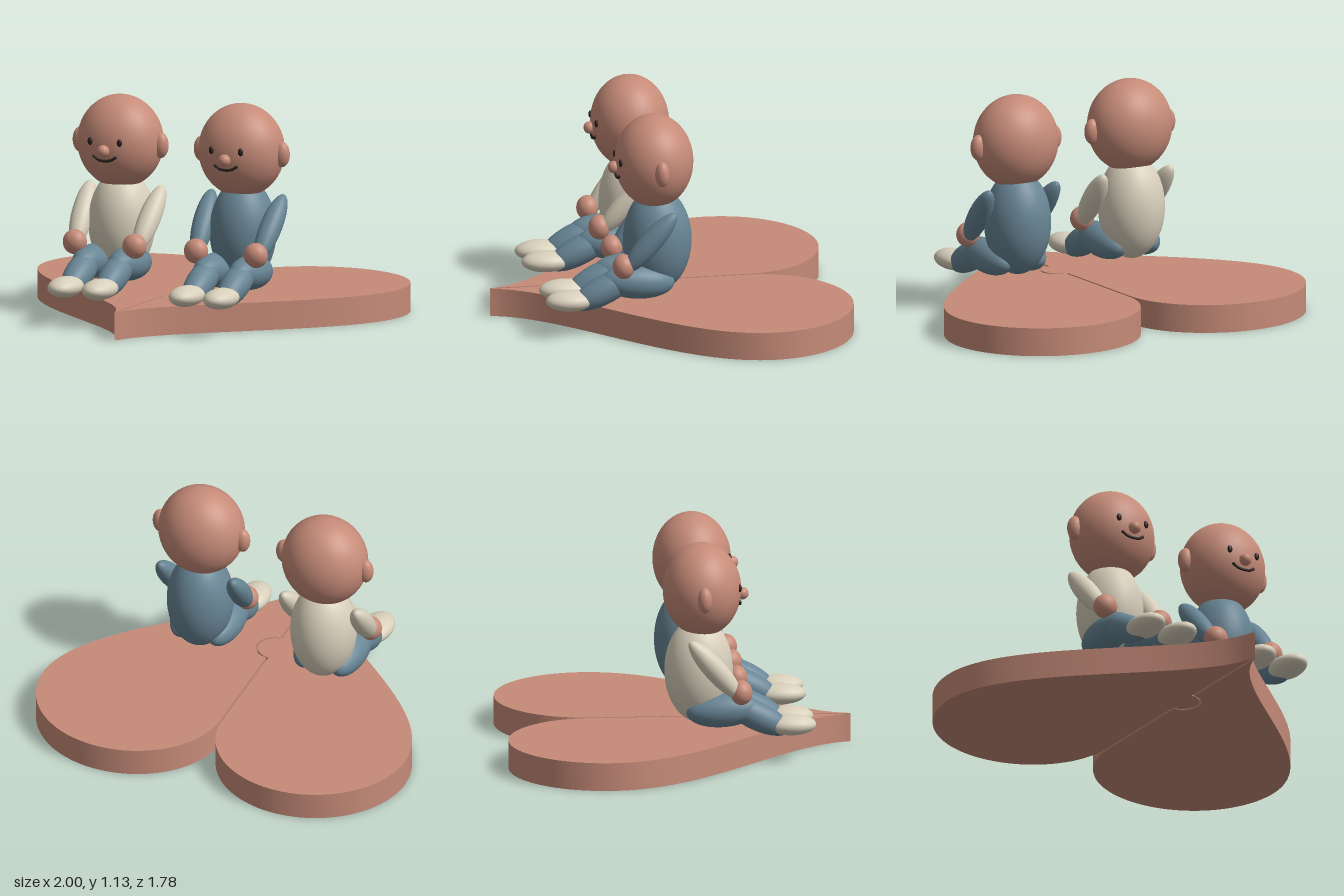
import * as THREE from 'three';
import { toCreasedNormals } from 'three/addons/utils/BufferGeometryUtils.js';

const mat = (name, color) => {
  const m = new THREE.MeshStandardMaterial({ color });
  m.name = name;
  return m;
};

export function createModel() {
  const clay = mat('clay', 0xc68b78);
  const blue = mat('blue cloth', 0x688595);
  const cream = mat('cream cloth', 0xd8cfbb);
  const dark = mat('dark features', 0x2b211d);

  const model = new THREE.Group();
  model.name = 'seatedPair';

  const ball = new THREE.SphereGeometry(1, 40, 28);

  // Ellipsoid with given centre and radii
  const ellipsoid = (parent, name, material, pos, radii) => {
    const mesh = new THREE.Mesh(ball, material);
    mesh.name = name;
    mesh.position.set(...pos);
    mesh.scale.set(...radii);
    parent.add(mesh);
    return mesh;
  };

  // Ellipsoid stretched along a direction, for limbs
  const limb = (parent, name, material, pos, dir, halfLength, radius) => {
    const mesh = ellipsoid(parent, name, material, pos, [radius, halfLength, radius]);
    mesh.quaternion.setFromUnitVectors(
      new THREE.Vector3(0, 1, 0), new THREE.Vector3(...dir).normalize());
    return mesh;
  };

  // Half of the heart base; the seam carries a round tab or its socket
  const heartHalf = (side, tabRadius) => {
    const x = (v) => side * v;
    const gap = 0.006, k = 0.5523;
    const s = new THREE.Shape();
    s.moveTo(x(gap), -0.88);
    s.bezierCurveTo(x(0.08), -0.5, x(1), -0.1, x(1), 0.41);
    s.bezierCurveTo(x(1), 0.41 + 0.49 * k, x(0.49 + 0.51 * k), 0.9, x(0.49), 0.9);
    s.bezierCurveTo(x(0.49 - 0.484 * k), 0.9, x(gap), 0.45 + 0.45 * k, x(gap), 0.45);
    s.lineTo(x(gap), -0.24 + tabRadius);
    s.absarc(x(gap), -0.24, tabRadius, Math.PI / 2, -Math.PI / 2, true);
    s.closePath();
    const geo = new THREE.ExtrudeGeometry(s, { depth: 0.145, bevelEnabled: false, curveSegments: 40 });
    geo.rotateX(-Math.PI / 2);
    const mesh = new THREE.Mesh(toCreasedNormals(geo, 0.5), clay);
    mesh.name = side > 0 ? 'heartHalfLeft' : 'heartHalfRight';
    model.add(mesh);
  };
  heartHalf(1, 0.09);
  heartHalf(-1, 0.088);

  // Smile follows the front of the face
  const smile = new THREE.TubeGeometry(new THREE.CatmullRomCurve3([
    [-0.06, 0.833, 0.286], [-0.035, 0.818, 0.289], [0, 0.813, 0.291],
    [0.035, 0.818, 0.289], [0.06, 0.833, 0.286],
  ].map((p) => new THREE.Vector3(...p))), 24, 0.007, 8);

  const figure = (name, x, shirt) => {
    const g = new THREE.Group();
    g.name = name;
    g.position.x = x;
    model.add(g);

    ellipsoid(g, 'torso', shirt, [0, 0.47, 0.08], [0.17, 0.27, 0.175]);

    // Head and face
    ellipsoid(g, 'head', clay, [0, 0.89, 0.097], [0.225, 0.24, 0.2]);
    ellipsoid(g, 'nose', clay, [0, 0.865, 0.303], [0.032, 0.032, 0.032]);
    const mouth = new THREE.Mesh(smile, dark);
    mouth.name = 'mouth';
    g.add(mouth);

    for (const s of [1, -1]) {
      ellipsoid(g, 'ear', clay, [s * 0.225, 0.882, 0.095], [0.042, 0.066, 0.037]);
      ellipsoid(g, 'eye', dark, [s * 0.082, 0.91, 0.284], [0.014, 0.02, 0.01]);
      ellipsoid(g, 'mouthCorner', dark, [s * 0.06, 0.833, 0.286], [0.008, 0.008, 0.008]);

      // Arm and hand
      limb(g, 'arm', shirt, [s * 0.188, 0.51, 0.15], [s * -0.025, -0.28, 0.24], 0.2, 0.057);
      ellipsoid(g, 'hand', clay, [s * 0.168, 0.385, 0.285], [0.063, 0.064, 0.056]);

      // Leg and shoe
      limb(g, 'thigh', blue, [s * 0.1, 0.28, 0.2], [0, 0.02, 0.27], 0.19, 0.088);
      limb(g, 'shin', blue, [s * 0.098, 0.246, 0.37], [0, -0.1, 0.2], 0.185, 0.074);
      ellipsoid(g, 'shoe', cream, [s * 0.097, 0.196, 0.545], [0.083, 0.053, 0.128]);
    }
  };
  figure('creamShirtFigure', -0.342, cream);
  figure('blueShirtFigure', 0.34, blue);

  return model;
}
